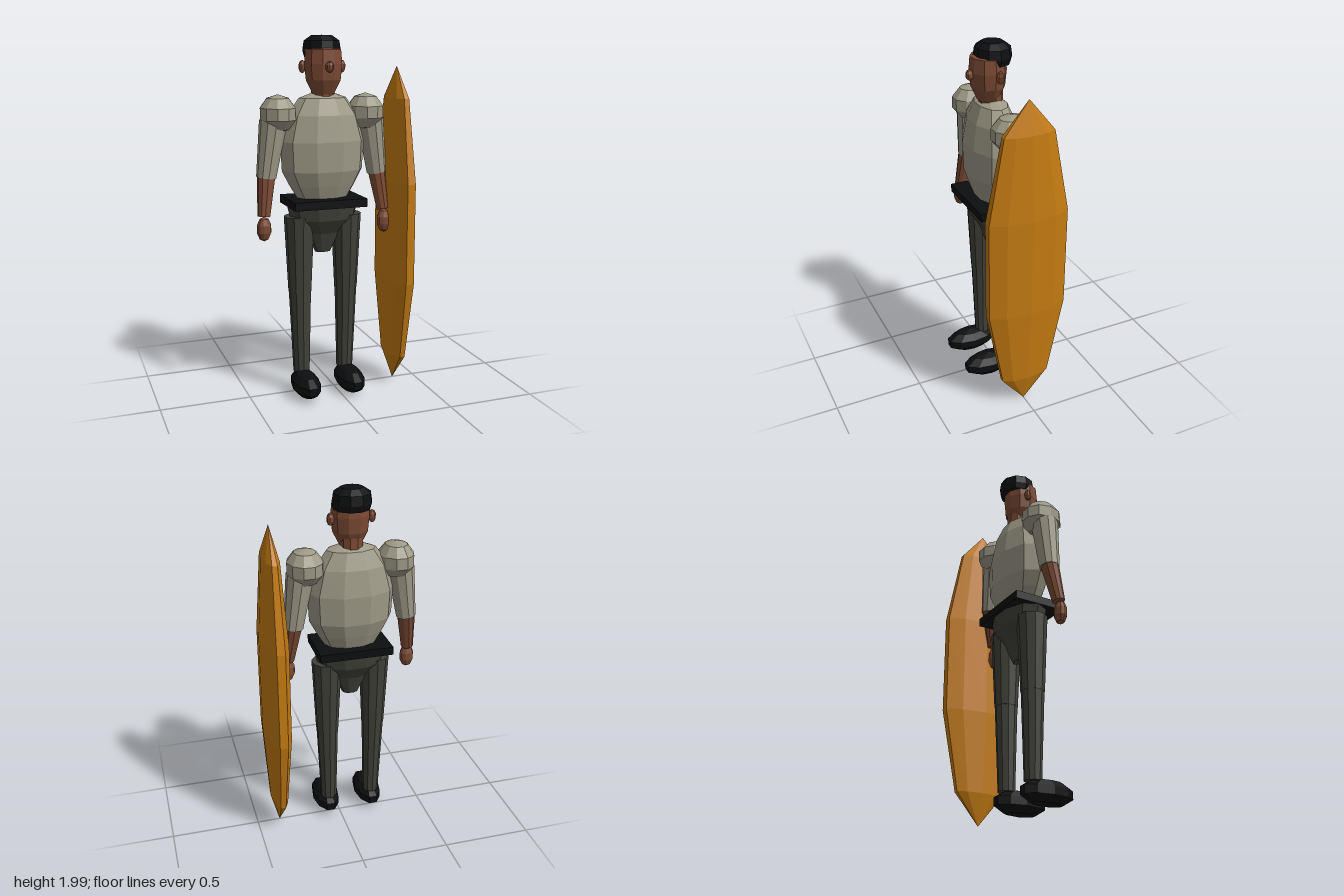
import * as THREE from 'three';

const SIDES = 10;

function paint(name, color) {
  const m = new THREE.MeshStandardMaterial({ color, flatShading: true });
  m.name = name;
  return m;
}

export function createModel() {
  const cloth = paint('shirt cloth', 0x9e9a87);
  const trouser = paint('trouser cloth', 0x41413a);
  const skin = paint('skin', 0x7c4a34);
  const black = paint('black', 0x0d0e10);
  const gold = paint('shield gold', 0xc47b12);

  const model = new THREE.Group();
  const figure = new THREE.Group();
  figure.name = 'figure';
  figure.position.x = -0.065;
  model.add(figure);

  function add(parent, name, geometry, material, x = 0, y = 0, z = 0) {
    const mesh = new THREE.Mesh(geometry, material);
    mesh.name = name;
    mesh.position.set(x, y, z);
    parent.add(mesh);
    return mesh;
  }

  // Low-poly ellipsoid given by its radii
  function ball(parent, name, material, pos, radii, rings = 5) {
    const g = new THREE.SphereGeometry(1, SIDES, rings).scale(...radii);
    return add(parent, name, g, material, ...pos);
  }

  // Ten-sided turned form, listed from bottom to top as [radius, height]
  function turned(name, material, profile, depth, z = 0) {
    const pts = profile.map(([r, y]) => new THREE.Vector2(r, y));
    const g = new THREE.LatheGeometry(pts, SIDES, Math.PI / 2).scale(1, 1, depth);
    return add(figure, name, g, material, 0, 0, z);
  }

  // Tapered limb from its upper point to its lower point
  function limb(parent, name, material, top, bottom, rTop, rBottom) {
    const a = new THREE.Vector3(...top), b = new THREE.Vector3(...bottom);
    const dir = a.clone().sub(b);
    const g = new THREE.CylinderGeometry(rTop, rBottom, dir.length(), SIDES);
    const mesh = add(parent, name, g, material);
    mesh.position.copy(a).add(b).multiplyScalar(0.5);
    mesh.quaternion.setFromUnitVectors(new THREE.Vector3(0, 1, 0), dir.normalize());
    return mesh;
  }

  // Head, hair and neck
  turned('neck', skin, [[0.065, 1.63], [0.065, 1.74]], 1);
  turned('head', skin,
    [[0, 1.69], [0.06, 1.69], [0.098, 1.765], [0.107, 1.85], [0.1, 1.925], [0, 1.95]], 0.92, 0.016);
  turned('hair', black,
    [[0, 1.885], [0.098, 1.885], [0.108, 1.92], [0.1, 1.97], [0.06, 1.997], [0, 2]], 0.94, -0.011);
  ball(figure, 'nose', skin, [0, 1.835, 0.117], [0.023, 0.03, 0.024]);

  // Torso, belt plate and hips
  turned('torso', cloth,
    [[0, 1.11], [0.135, 1.11], [0.19, 1.2], [0.232, 1.28], [0.24, 1.44], [0.2, 1.58],
      [0.135, 1.67], [0.065, 1.695], [0, 1.695]], 0.59);
  add(figure, 'belt', new THREE.BoxGeometry(0.41, 0.045, 0.29), black, 0, 1.108, 0.008);
  turned('hips', trouser,
    [[0, 0.82], [0.045, 0.82], [0.1, 0.93], [0.185, 1.01], [0.205, 1.09], [0, 1.09]], 0.62);

  for (const s of [-1, 1]) {
    const side = s < 0 ? 'right' : 'left';
    ball(figure, side + 'Ear', skin, [s * 0.112, 1.835, -0.003], [0.021, 0.035, 0.02]);

    // Arm
    const arm = new THREE.Group();
    arm.name = side + 'Arm';
    figure.add(arm);
    ball(arm, 'shoulder', cloth, [s * 0.25, 1.59, -0.002], [0.103, 0.102, 0.117]);
    limb(arm, 'sleeve', cloth, [s * 0.277, 1.55, 0], [s * 0.32, 1.25, 0], 0.075, 0.054);
    limb(arm, 'forearm', skin, [s * 0.32, 1.265, 0], [s * 0.346, 1.045, 0.035], 0.05, 0.034);
    ball(arm, 'hand', skin, [s * 0.348, 0.98, 0.043], [0.042, 0.068, 0.034]);

    // Leg
    const leg = new THREE.Group();
    leg.name = side + 'Leg';
    figure.add(leg);
    limb(leg, 'thigh', trouser, [s * 0.137, 1.03, 0], [s * 0.136, 0.6, 0], 0.084, 0.064);
    limb(leg, 'shin', trouser, [s * 0.136, 0.605, 0], [s * 0.13, 0.13, 0], 0.062, 0.046);
    ball(leg, 'shoe', black, [s * 0.131, 0.08, 0.08], [0.078, 0.07, 0.158]);
  }

  // Long faceted shield beside the left arm
  ball(model, 'shield', gold, [0.37, 0.922, 0], [0.079, 0.912, 0.249]);

  return model;
}
